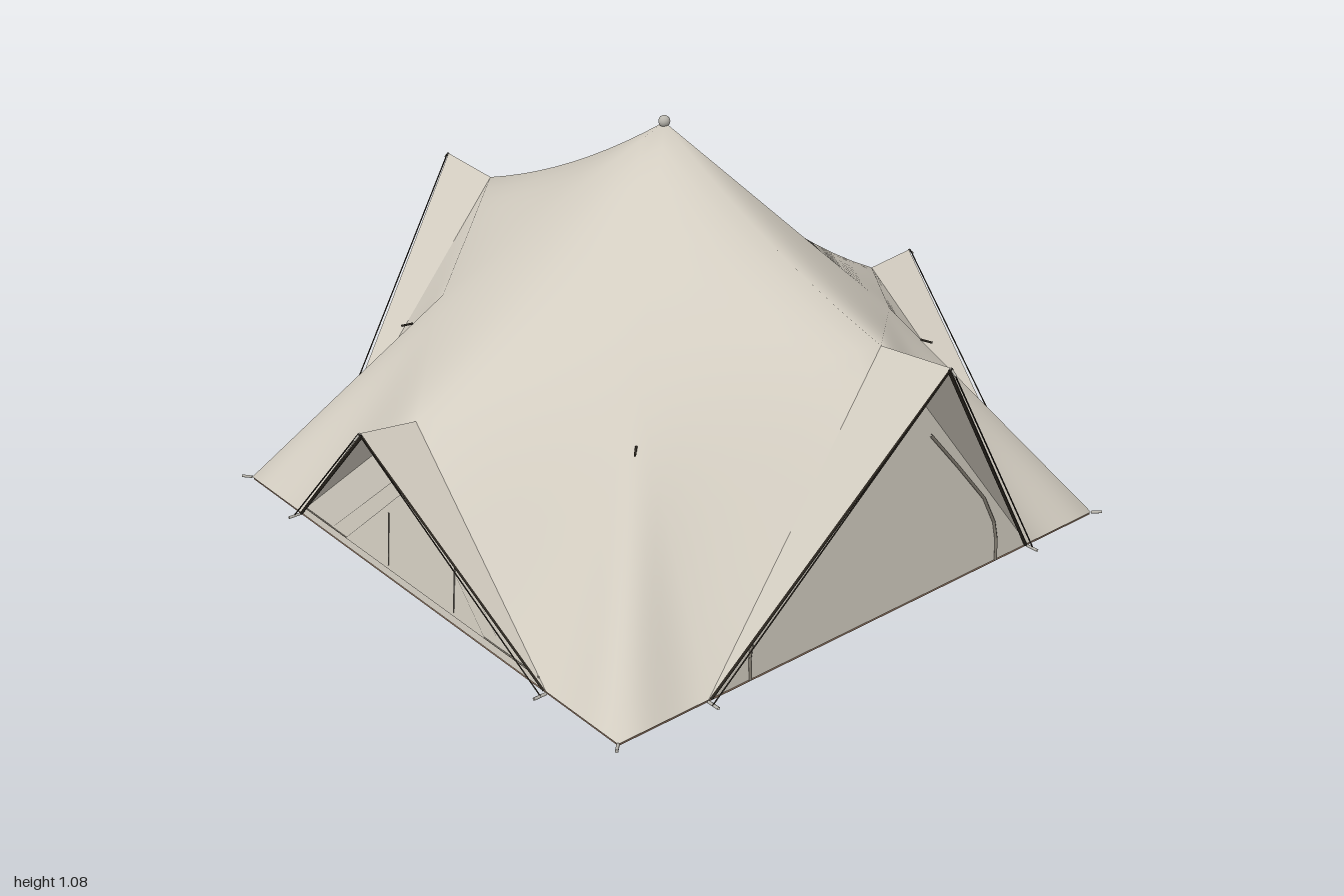
import * as THREE from 'three';
import { mergeVertices } from 'three/addons/utils/BufferGeometryUtils.js';

const V = (x, y, z) => new THREE.Vector3(x, y, z);
const mat = (name, color) => {
  const m = new THREE.MeshStandardMaterial({ color, side: THREE.DoubleSide });
  m.name = name;
  return m;
};

// Blend each normal with its neighbours so panels flow softly into each other
function softenNormals(g, passes) {
  const index = g.index.array;
  const normals = g.attributes.normal;
  const v = V(0, 0, 0);
  for (let pass = 0; pass < passes; pass++) {
    const sums = Array.from({ length: normals.count }, () => V(0, 0, 0));
    for (let i = 0; i < index.length; i += 3) {
      const face = V(0, 0, 0);
      for (let k = 0; k < 3; k++) face.add(v.fromBufferAttribute(normals, index[i + k]));
      for (let k = 0; k < 3; k++) sums[index[i + k]].add(face);
    }
    sums.forEach((s, i) => normals.setXYZ(i, ...s.normalize().toArray()));
  }
}

export function createModel() {
  const fabric = mat('beige canvas', 0xd3cdc1);
  const floorMat = mat('brown groundsheet', 0x8a705c);
  const trim = mat('dark trim', 0x2c2720);
  const zipMat = mat('grey zip', 0x837d72);
  const metal = mat('pale metal', 0xb9b6ae);
  const tan = mat('tan patch', 0xbf9463);
  const group = new THREE.Group();

  const add = (name, geometry, material) => {
    const mesh = new THREE.Mesh(geometry, material);
    mesh.name = name;
    group.add(mesh);
    return mesh;
  };

  // Straight rods joining a list of points
  const rod = (name, points, radius, material) => {
    for (let i = 1; i < points.length; i++) {
      add(name, new THREE.TubeGeometry(new THREE.LineCurve3(points[i - 1], points[i]), 1, radius, 6), material);
    }
  };

  // Subdivided triangle a, b, c wound to face outwards; shift bends it
  const panel = (out, a, b, c, shift, n = 10) => {
    const normal = b.clone().sub(a).cross(c.clone().sub(a)).normalize();
    const centre = a.clone().add(b).add(c).divideScalar(3).sub(V(0, 0.1, 0));
    const flip = normal.dot(centre) < 0;
    if (flip) normal.negate();
    const at = (i, j) => {
      const v = i / n, w = j / n, u = 1 - v - w;
      const p = V(0, 0, 0).addScaledVector(a, u).addScaledVector(b, v).addScaledVector(c, w);
      shift(p, u, v, w, normal);
      return p;
    };
    const tri = (p, q, r) => (flip ? [p, r, q] : [p, q, r]).forEach((k) => out.push(k.x, k.y, k.z));
    for (let i = 0; i < n; i++) {
      for (let j = 0; j < n - i; j++) {
        tri(at(i, j), at(i + 1, j), at(i, j + 1));
        if (i + j < n - 1) tri(at(i + 1, j), at(i + 1, j + 1), at(i, j + 1));
      }
    }
  };
  const surface = (name, points, material) => {
    const g = new THREE.BufferGeometry().setFromPoints(points);
    g.computeVertexNormals();
    add(name, g, material);
  };

  const apex = V(0, 1.06, 0);
  const roofSag = (k) => (p, u, v, w) => { p.y -= 4 * u * w * k; };
  const wallSag = (p, u, v, w, normal) => p.addScaledVector(normal, -27 * u * v * w * 0.005);
  const shell = [];

  // Canopy: four corners, each with two roof panels and four wall panels
  for (const sx of [-1, 1]) {
    for (const sz of [-1, 1]) {
      const node = V(0.415 * sx, 0.575, 0.405 * sz);
      const corner = V(0.805 * sx, 0.01, 0.805 * sz);
      const sides = [
        [V(0, 0.712, 0.77 * sz), V(0.545 * sx, 0.01, 0.805 * sz), 0.03],
        [V(0.77 * sx, 0.473, 0), V(0.805 * sx, 0.01, 0.545 * sz), 0.055],
      ];
      for (const [peak, foot, sag] of sides) {
        panel(shell, apex, node, peak, roofSag(sag));
        panel(shell, node, peak, foot, wallSag);
        panel(shell, node, foot, corner, wallSag);
      }

      // Corner stake and small tie on the corner fold
      rod('cornerStake', [corner, V(0.825 * sx, 0.012, 0.825 * sz)], 0.004, metal);
      const tie = node.clone().lerp(corner, 0.15);
      rod('tie', [tie, tie.clone().add(V(0.022 * sx, -0.008, 0.022 * sz))], 0.003, trim);
    }
  }
  const canopy = new THREE.BufferGeometry();
  canopy.setAttribute('position', new THREE.Float32BufferAttribute(shell, 3));
  const smooth = mergeVertices(canopy, 1e-4);
  smooth.computeVertexNormals();
  softenNormals(smooth, 10);
  add('canopy', smooth, fabric);

  // Entrances on four sides: tall doors front and back, low windows left and right
  for (let turn = 0; turn < 4; turn++) {
    const door = turn % 2 === 0;
    const peakY = door ? 0.712 : 0.473;
    const tipY = door ? 0.73 : 0.49;
    const tipD = door ? 0.98 : 0.922;
    const place = (across, y, out) => V(across, y, out).applyAxisAngle(V(0, 1, 0), turn * Math.PI / 2);
    const peak = place(0, peakY, 0.77);
    const tip = place(0, tipY, tipD);
    const feet = [-1, 1].map((s) => place(0.545 * s, 0.01, 0.805));
    // Point lying just proud of the entrance wall
    const onWall = (x, y, lift = 0.002) => place(x, y, 0.8055 + lift - 0.035 * (y / peakY));

    surface(door ? 'doorPanel' : 'windowPanel', [feet[0], feet[1], peak], fabric);
    surface('hood', [peak, feet[0], tip, peak, tip, feet[1]], fabric);

    for (const s of [-1, 1]) {
      rod('hoodTrim', [place(0.538 * s, 0.01, 0.806), place(0, tipY - 0.009, tipD - 0.003)], 0.004, trim);
      rod('guyLine', [place(0, tipY, tipD + 0.005), place(0.548 * s, 0.005, 0.822)], 0.0018, trim);
      rod('hoodStake', [place(0.545 * s, 0.005, 0.805), place(0.545 * s, 0.005, 0.84)], 0.004, metal);
      if (door) {
        const zip = [[0.42, 0.01], [0.42, 0.07], [0.41, 0.12], [0.37, 0.2], [0.27, 0.32], [0.17, 0.435]];
        rod('doorZip', zip.map(([x, y]) => onWall(x * s, y)), 0.004, zipMat);
        // Small triangular patch beside the door's centre line
        const patch = [onWall(0.008 * s, 0.565), onWall(0.065 * s, 0.565), onWall(0.008 * s, 0.63)];
        surface('peakPatch', s > 0 ? patch : patch.reverse(), tan);
      }
    }
    if (!door) {
      // Layered window flap with straps
      surface('windowFlap', [onWall(-0.38, 0.035), onWall(0.38, 0.035), onWall(0, 0.36)], fabric);
      surface('windowMesh', [[-0.31, 0.035], [0.31, 0.035], [0, 0.31]].map(([x, y]) => onWall(x, y, 0.004)), fabric);
      for (const x of [-0.107, 0.18]) {
        rod('windowStrap', [onWall(x, 0.045, 0.004), onWall(x, 0.19, 0.004)], 0.002, zipMat);
      }
      rod('windowSill', [onWall(-0.52, 0.035), onWall(0.52, 0.035)], 0.002, zipMat);
    }
    rod('hoodHook', [tip, place(0, tipY - 0.015, tipD + 0.018)], 0.003, metal);
  }

  // Groundsheet and apex knob
  add('groundsheet', new THREE.BoxGeometry(1.605, 0.006, 1.605), floorMat).position.y = 0.006;
  add('apexKnob', new THREE.SphereGeometry(0.015, 16, 10), metal).position.y = 1.062;

  return group;
}
